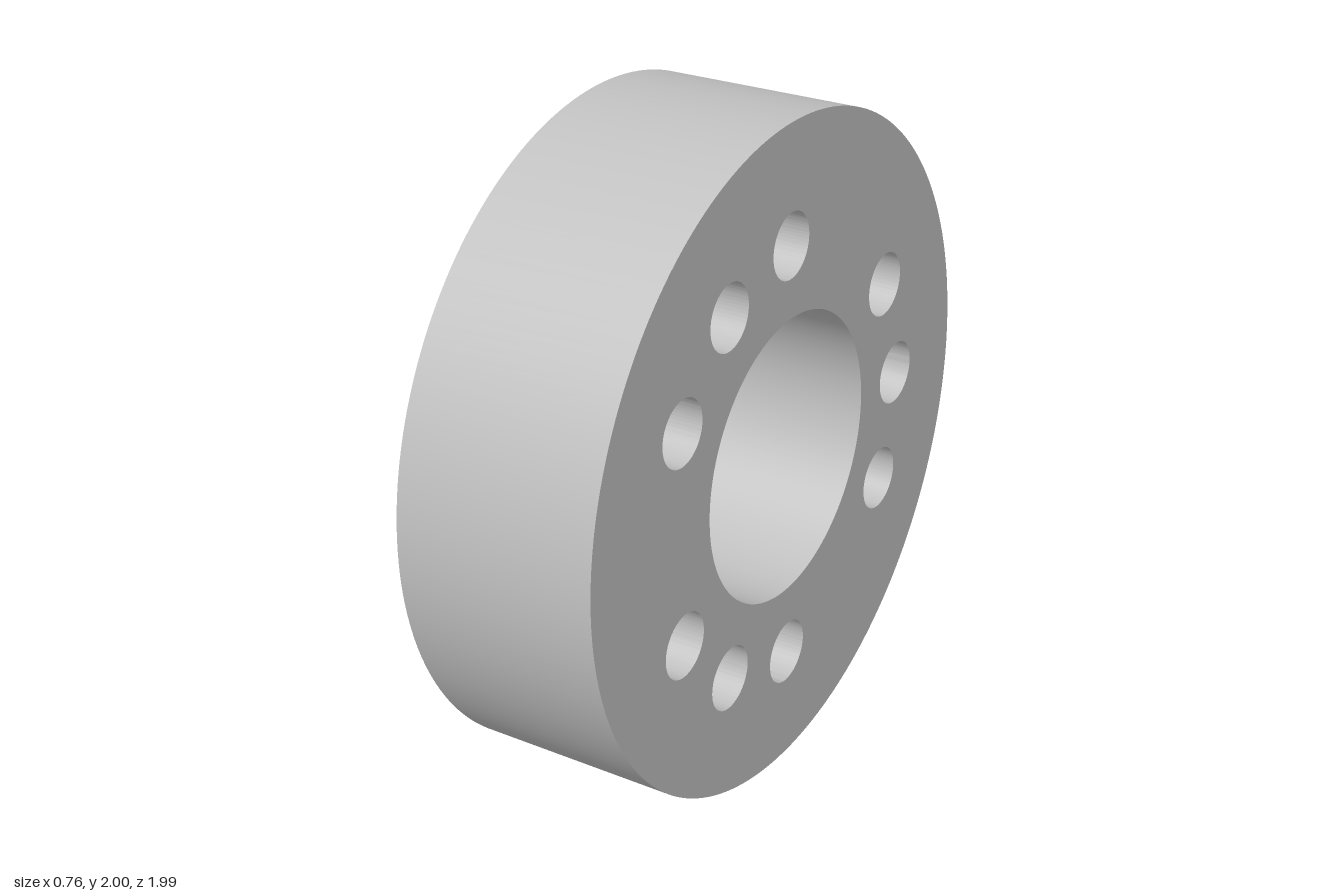
import * as THREE from 'three';
import { toCreasedNormals } from 'three/addons/utils/BufferGeometryUtils.js';

const R = 0.996, BORE = 0.428, HOLE = 0.097, HOLE_RING = 0.644;
const HALF = 0.305, PEG_HEIGHT = 0.127;
const PEG_ANGLES = [60, 180, 300];
const rad = THREE.MathUtils.degToRad;

// Extrude a profile along the x axis, with smooth curved walls and sharp rims
function extrudeAlongX(shape, depth, start) {
  const geo = new THREE.ExtrudeGeometry(shape, { depth, bevelEnabled: false, curveSegments: 96 });
  geo.translate(0, 0, start);
  geo.rotateY(Math.PI / 2);
  return toCreasedNormals(geo, 0.4);
}

// Annular sector with rounded corners, centred on the given angle
function sectorShape(angle, inner, outer, half, fillet) {
  const at = (r, a) => [r * Math.cos(angle + a), r * Math.sin(angle + a)];
  const fi = fillet / inner, fo = fillet / outer;
  const s = new THREE.Shape();
  s.moveTo(...at(inner + fillet, -half));
  s.lineTo(...at(outer - fillet, -half));
  s.quadraticCurveTo(...at(outer, -half), ...at(outer, -half + fo));
  s.absarc(0, 0, outer, angle - half + fo, angle + half - fo, false);
  s.quadraticCurveTo(...at(outer, half), ...at(outer - fillet, half));
  s.lineTo(...at(inner + fillet, half));
  s.quadraticCurveTo(...at(inner, half), ...at(inner, half - fi));
  s.absarc(0, 0, inner, angle + half - fi, angle - half + fi, true);
  s.quadraticCurveTo(...at(inner, -half), ...at(inner + fillet, -half));
  return s;
}

export function createModel() {
  const model = new THREE.Group();
  model.name = 'pinnedRing';
  const grey = new THREE.MeshStandardMaterial({ color: 0xc0c0c0 });
  grey.name = 'plain grey';

  // Slightly tilted coupling, axis along x
  const coupling = new THREE.Group();
  coupling.name = 'coupling';
  coupling.position.set(0.06, 1, 0);
  coupling.rotation.z = 0.0125;
  model.add(coupling);

  // Ring body with central bore and nine through holes
  const disc = new THREE.Shape().absarc(0, 0, R, 0, Math.PI * 2, false);
  const addHole = (x, y, r) =>
    disc.holes.push(new THREE.Path().absarc(x, y, r, 0, Math.PI * 2, true));
  addHole(0, 0, BORE);
  for (let deg = 0; deg < 360; deg += 30) {
    if (PEG_ANGLES.includes(deg)) continue;
    addHole(HOLE_RING * Math.cos(rad(deg)), HOLE_RING * Math.sin(rad(deg)), HOLE);
  }
  const body = new THREE.Mesh(extrudeAlongX(disc, HALF * 2, -HALF), grey);
  body.name = 'ringBody';
  coupling.add(body);

  // Three drive lugs on the rear face
  PEG_ANGLES.forEach((deg, i) => {
    const shape = sectorShape(rad(deg), 0.515, 0.755, rad(15), 0.03);
    const lug = new THREE.Mesh(extrudeAlongX(shape, PEG_HEIGHT, -HALF - PEG_HEIGHT), grey);
    lug.name = `driveLug${i + 1}`;
    coupling.add(lug);
  });
  return model;
}
